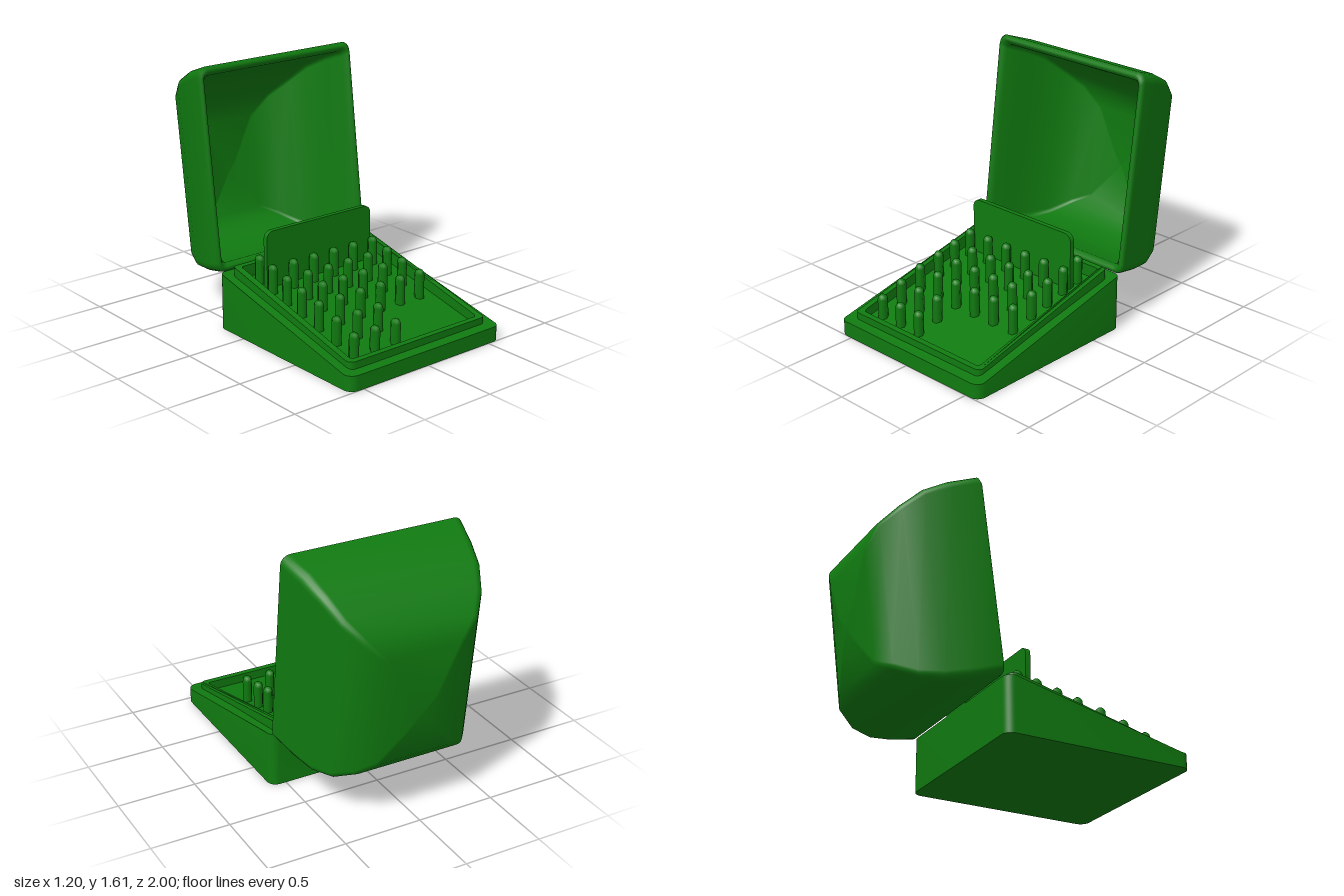
import * as THREE from 'three';
import { toCreasedNormals } from 'three/addons/utils/BufferGeometryUtils.js';

const green = new THREE.MeshStandardMaterial({ color: 0x107a10 });
const clamp = THREE.MathUtils.clamp;

// Heights along the sloping console
const baseTop = (z) => 0.354 - (clamp(z, -0.19, 0.94) + 0.19) * 0.228;
const rimTop = (z) => 0.4 - (clamp(z, -0.13, 0.89) + 0.13) * 0.25;
const floorTop = (z) => baseTop(z) - 0.022;

// Rounded rectangle outline, drawn on any shape or path
function roundRect(path, x0, x1, y0, y1, r) {
  path.moveTo(x0 + r, y0);
  path.absarc(x1 - r, y0 + r, r, -Math.PI / 2, 0);
  path.absarc(x1 - r, y1 - r, r, 0, Math.PI / 2);
  path.absarc(x0 + r, y1 - r, r, Math.PI / 2, Math.PI);
  path.absarc(x0 + r, y0 + r, r, Math.PI, Math.PI * 1.5);
  path.closePath();
  return path;
}

function add(parent, name, geometry) {
  const mesh = new THREE.Mesh(geometry, green);
  mesh.name = name;
  parent.add(mesh);
  return mesh;
}

// Upright slab over a plan outline, with bottom and top following height rules
function slopedSlab(shape, bottom, top) {
  const geo = new THREE.ExtrudeGeometry(shape, { depth: 1, bevelEnabled: false, curveSegments: 5 });
  geo.rotateX(-Math.PI / 2);
  const p = geo.attributes.position;
  for (let i = 0; i < p.count; i++) {
    const z = p.getZ(i);
    p.setY(i, p.getY(i) > 0.5 ? top(z) : bottom(z));
  }
  return toCreasedNormals(geo, 0.6);
}

// Closed shell lofted through rounded rectangles [n, u0, u1, halfWidth, radius]
function loftLid(sections) {
  const arc = 5, ring = 4 * arc, pos = [], index = [];
  const cos = 0.992, sin = 0.127;
  for (const [n, u0, u1, w, r] of sections) {
    for (let i = 0; i < ring; i++) {
      const q = Math.floor(i / arc);
      const a = (q + (i % arc) / (arc - 1)) * Math.PI / 2;
      const right = q === 0 || q === 3, upper = q < 2;
      const x = (right ? w - r : r - w) + r * Math.cos(a);
      const u = (upper ? u1 - r : u0 + r) + r * Math.sin(a);
      pos.push(x, 0.35 + cos * u - sin * n, -0.25 - sin * u - cos * n);
    }
  }
  for (let s = 0; s < sections.length - 1; s++) {
    for (let i = 0; i < ring; i++) {
      const a = s * ring + i, b = s * ring + (i + 1) % ring;
      index.push(a, b, a + ring, b, b + ring, a + ring);
    }
  }
  const geo = new THREE.BufferGeometry();
  geo.setAttribute('position', new THREE.Float32BufferAttribute(pos, 3));
  geo.setIndex(index);
  geo.computeVertexNormals();
  return geo;
}

export function createModel() {
  const model = new THREE.Group();
  model.name = 'pegBox';

  // Wedge base with a recessed floor (plan outlines use y = -z)
  const baseShape = roundRect(new THREE.Shape(), -0.6, 0.6, -1, 0.25, 0.06);
  baseShape.holes.push(roundRect(new THREE.Path(), -0.5, 0.5, -0.89, 0.15, 0.025));
  add(model, 'base', slopedSlab(baseShape, () => 0, baseTop));
  const floorShape = roundRect(new THREE.Shape(), -0.505, 0.505, -0.895, 0.155, 0.025);
  add(model, 'floor', slopedSlab(floorShape, () => 0, floorTop));

  // Raised rim around the floor
  const rimShape = roundRect(new THREE.Shape(), -0.54, 0.54, -0.93, 0.19, 0.04);
  rimShape.holes.push(roundRect(new THREE.Path(), -0.5, 0.5, -0.89, 0.15, 0.025));
  add(model, 'rim', slopedSlab(rimShape, (z) => baseTop(z) - 0.03, rimTop));

  // Six-sided pegs with domed tops: [z, top height, number in row]
  const pegs = new THREE.Group();
  pegs.name = 'pegs';
  model.add(pegs);
  const rows = [
    [-0.075, 0.48, 6], [0.055, 0.455, 6], [0.195, 0.425, 6], [0.335, 0.393, 6],
    [0.495, 0.36, 6], [0.655, 0.312, 3], [0.81, 0.262, 3],
  ];
  for (const [z, top, count] of rows) {
    const r = 0.032, h = top - floorTop(z) + 0.02;
    const profile = [new THREE.Vector2(r, 0)];
    for (let k = 0; k <= 4; k++) {
      const a = k * Math.PI / 8;
      profile.push(new THREE.Vector2(k === 4 ? 0 : r * Math.cos(a), h - r + r * Math.sin(a)));
    }
    const geo = new THREE.LatheGeometry(profile, 6, Math.PI / 2);
    for (let i = 0; i < count; i++) {
      add(pegs, 'peg', geo).position.set(-0.412 + i * 0.161, top - h, z);
    }
  }

  // Upright divider card
  const cardShape = roundRect(new THREE.Shape(), -0.42, 0.41, 0.24, 0.65, 0.05);
  const card = new THREE.ExtrudeGeometry(cardShape, { depth: 0.032, bevelEnabled: false, curveSegments: 5 });
  add(model, 'dividerCard', toCreasedNormals(card, 0.6)).position.z = -0.021;

  // Hinge barrel
  const hinge = new THREE.CylinderGeometry(0.026, 0.026, 0.24, 8).rotateZ(Math.PI / 2);
  add(model, 'hinge', toCreasedNormals(hinge, 0.9)).position.set(0.02, 0.358, -0.226);

  // Domed lid: outer skin from crown to lip, then the same skin inset
  const dome = [
    [0.688, 0.45, 0.45, 0, 0], [0.682, 0.33, 0.56, 0.1, 0.01], [0.65, 0.14, 0.86, 0.25, 0.02],
    [0.6, 0.07, 0.985, 0.37, 0.03], [0.487, -0.005, 1.08, 0.46, 0.04], [0.355, -0.034, 1.175, 0.52, 0.05],
    [0.2, -0.03, 1.235, 0.56, 0.06], [0.02, -0.003, 1.273, 0.6, 0.06],
  ];
  const inner = dome.slice(0, 7).reverse().map(([n, u0, u1, w, r], i) => {
    const t = i === 6 ? 0 : 0.05;
    return [n - 0.045, u0 + t, u1 - t, Math.max(w - t, 0), r * 0.6];
  });
  const lip = [[0, 0.012, 1.255, 0.585, 0.05], [0, 0.03, 1.235, 0.565, 0.04], [0.03, 0.05, 1.215, 0.545, 0.035]];
  add(model, 'lid', loftLid([...dome, ...lip, ...inner]));

  return model;
}
